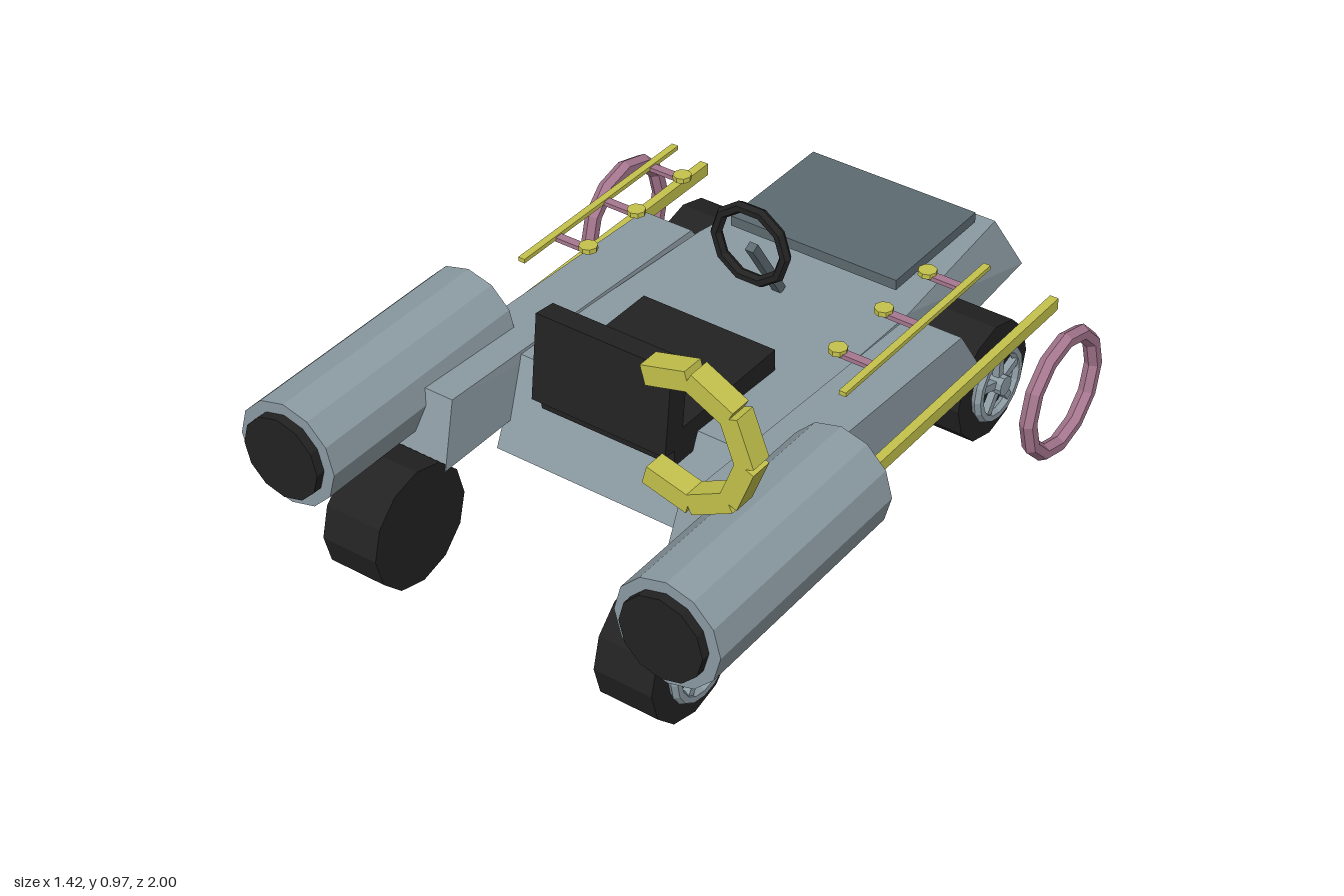
import * as THREE from 'three';
import { ConvexGeometry } from 'three/addons/geometries/ConvexGeometry.js';

const paint = (name, color) => {
  const m = new THREE.MeshStandardMaterial({ color, flatShading: true });
  m.name = name;
  return m;
};

export function createModel() {
  const model = new THREE.Group();
  const grey = paint('body grey', 0x8c9ba3);
  const slate = paint('slate', 0x5c6a70);
  const black = paint('black', 0x222222);
  const yellow = paint('yellow', 0xc4c24c);
  const pink = paint('mauve', 0xa6778f);

  const add = (name, geometry, material, x = 0, y = 0, z = 0, parent = model) => {
    const mesh = new THREE.Mesh(geometry, material);
    mesh.name = name;
    mesh.position.set(x, y, z);
    parent.add(mesh);
    return mesh;
  };
  const box = (w, h, d) => new THREE.BoxGeometry(w, h, d);
  const hull = (points) => new ConvexGeometry(points.map((p) => new THREE.Vector3(...p)));

  // Tapered chassis: half width, height, z, mirrored across x
  const chassis = [
    [0.30, 0.20, -1.0], [0.26, 0.37, -0.91],
    [0.337, 0.20, -0.4], [0.325, 0.40, -0.38],
    [0.345, 0.20, 0.46], [0.345, 0.433, 0.36],
  ];
  add('chassis', hull(chassis.flatMap(([x, y, z]) => [[x, y, z], [-x, y, z]])), grey);

  // Rear deck panel
  add('deckPanel', box(0.514, 0.03, 0.385), slate, 0, 0.435, -0.617);

  // Seat with a tilted back and pad
  add('seatBase', box(0.4, 0.095, 0.42), black, 0, 0.4325, 0.245);
  const seatBack = new THREE.Group();
  seatBack.name = 'seatBack';
  seatBack.position.set(0, 0.55, 0.445);
  seatBack.rotation.x = -0.12;
  model.add(seatBack);
  add('backrest', box(0.4, 0.24, 0.066), black, 0, 0, 0, seatBack);
  add('backPad', box(0.31, 0.19, 0.02), slate, 0, 0, -0.043, seatBack);

  // Steering wheel and column
  add('steeringWheel', new THREE.TorusGeometry(0.105, 0.016, 6, 10), black, 0, 0.615, -0.145);
  const column = add('steeringColumn', box(0.025, 0.235, 0.025), slate, 0, 0.505, -0.212);
  column.rotation.x = 0.57;

  // Curved row of blocks above the left pipe
  const hook = new THREE.Group();
  hook.name = 'hook';
  hook.position.set(0.455, 0.777, 0.748);
  model.add(hook);
  for (let i = 0; i < 6; i++) {
    const a = THREE.MathUtils.degToRad((i - 2.5) * 42);
    const block = add('hookBlock', box(0.052, 0.125, 0.06), yellow,
      Math.cos(a) * 0.16, Math.sin(a) * 0.16, 0, hook);
    block.rotation.z = a;
  }

  // Wheel: tyre, rim ring, five spokes and hub
  const addWheel = (side, z, name) => {
    const wheel = new THREE.Group();
    wheel.name = name;
    wheel.position.set(side * 0.41, 0.168, z);
    model.add(wheel);
    const tyre = new THREE.CylinderGeometry(0.168, 0.168, 0.165, 12);
    add('tyre', tyre.rotateZ(Math.PI / 2), black, 0, 0, 0, wheel);
    const rim = new THREE.TorusGeometry(0.096, 0.016, 6, 16);
    add('rim', rim.rotateY(Math.PI / 2), grey, side * 0.096, 0, 0, wheel);
    for (let i = 0; i < 5; i++) {
      const a = (i * Math.PI * 2) / 5;
      const spoke = add('spoke', box(0.02, 0.08, 0.022), grey,
        side * 0.097, Math.cos(a) * 0.055, Math.sin(a) * 0.055, wheel);
      spoke.rotation.x = a;
    }
    const hub = new THREE.CylinderGeometry(0.028, 0.028, 0.045, 10);
    add('hub', hub.rotateZ(Math.PI / 2), grey, side * 0.1, 0, 0, wheel);
  };

  for (const s of [1, -1]) {
    const label = s > 0 ? 'left' : 'right';

    // Side pod with sloped ends
    const podProfile = [[0.68, 0.275], [0.625, 0.453], [-0.36, 0.408], [-0.45, 0.275]];
    add(label + 'SidePod', hull(podProfile.flatMap(([z, y]) => [
      [s * (y > 0.3 ? 0.338 : 0.325), y, z], [s * 0.495, y, z],
    ])), grey);

    // Large pipe with a dark mouth
    const pipe = new THREE.CylinderGeometry(0.146, 0.146, 0.69, 12);
    add(label + 'Pipe', pipe.rotateX(Math.PI / 2), grey, s * 0.558, 0.412, 0.63);
    const mouth = new THREE.CylinderGeometry(0.115, 0.115, 0.05, 12);
    add(label + 'PipeMouth', mouth.rotateX(Math.PI / 2), black, s * 0.558, 0.412, 0.975);

    // Long side rail
    add(label + 'Rail', box(0.025, 0.036, 1.02), yellow, s * 0.555, 0.334, -0.21);

    // Thin upper rail with three capped pegs
    add(label + 'UpperRail', box(0.02, 0.012, 0.655), yellow, s * 0.483, 0.549, -0.16);
    for (const z of [-0.375, -0.175, 0.028]) {
      add(label + 'Peg', box(0.1, 0.012, 0.024), pink, s * 0.432, 0.545, z);
      add(label + 'PegCap', new THREE.CylinderGeometry(0.025, 0.025, 0.014, 8), yellow,
        s * 0.378, 0.553, z);
    }

    // Upright ring beside the rear wheel
    const ring = new THREE.TorusGeometry(0.163, 0.023, 6, 12);
    add(label + 'Ring', ring.rotateY(Math.PI / 2), pink, s * 0.692, 0.215, -0.537);

    addWheel(s, 0.78, label + 'FrontWheel');
    addWheel(s, -0.535, label + 'RearWheel');
  }
  return model;
}
